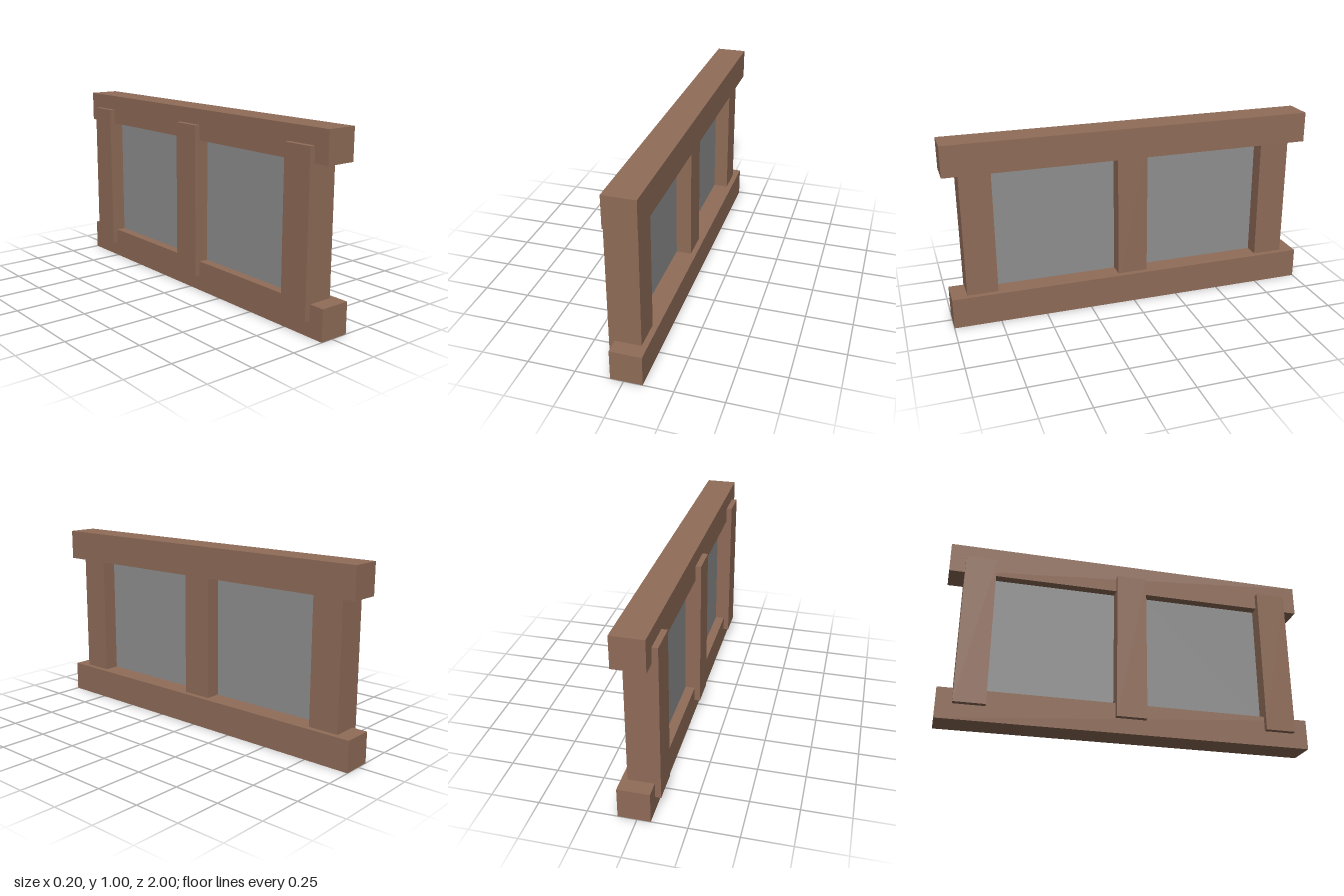
import * as THREE from 'three';

export function createModel() {
  const group = new THREE.Group();
  const wood = new THREE.MeshStandardMaterial({ color: 0x906c58 });
  const glass = new THREE.MeshStandardMaterial({ color: 0x8f8f8f, side: THREE.DoubleSide });
  const beam = 0.165; // square section shared by rails and posts
  const postX = -0.016;
  const postZ = 0.835;

  const add = (name, geometry, material, x, y, z) => {
    const mesh = new THREE.Mesh(geometry, material);
    mesh.name = name;
    mesh.position.set(x, y, z);
    group.add(mesh);
    return mesh;
  };

  // Long rails at the bottom and top
  const rail = new THREE.BoxGeometry(beam, beam, 2);
  add('bottomRail', rail, wood, 0.014, beam / 2, 0);
  add('topRail', rail, wood, 0.014, 1 - beam / 2, 0);

  // Three posts, set back so they stand proud of the rails on one side
  const post = new THREE.BoxGeometry(beam, 0.834, beam);
  ['backPost', 'middlePost', 'frontPost'].forEach((name, i) =>
    add(name, post, wood, postX, 0.5, (i - 1) * postZ));

  // Thin panes filling the two openings, on the posts' centre line
  const pane = new THREE.PlaneGeometry(postZ - beam, 1 - 2 * beam);
  for (const side of [-1, 1]) {
    const mesh = add(side < 0 ? 'backPane' : 'frontPane', pane, glass, postX, 0.5, side * postZ / 2);
    mesh.rotation.y = Math.PI / 2;
  }

  return group;
}
